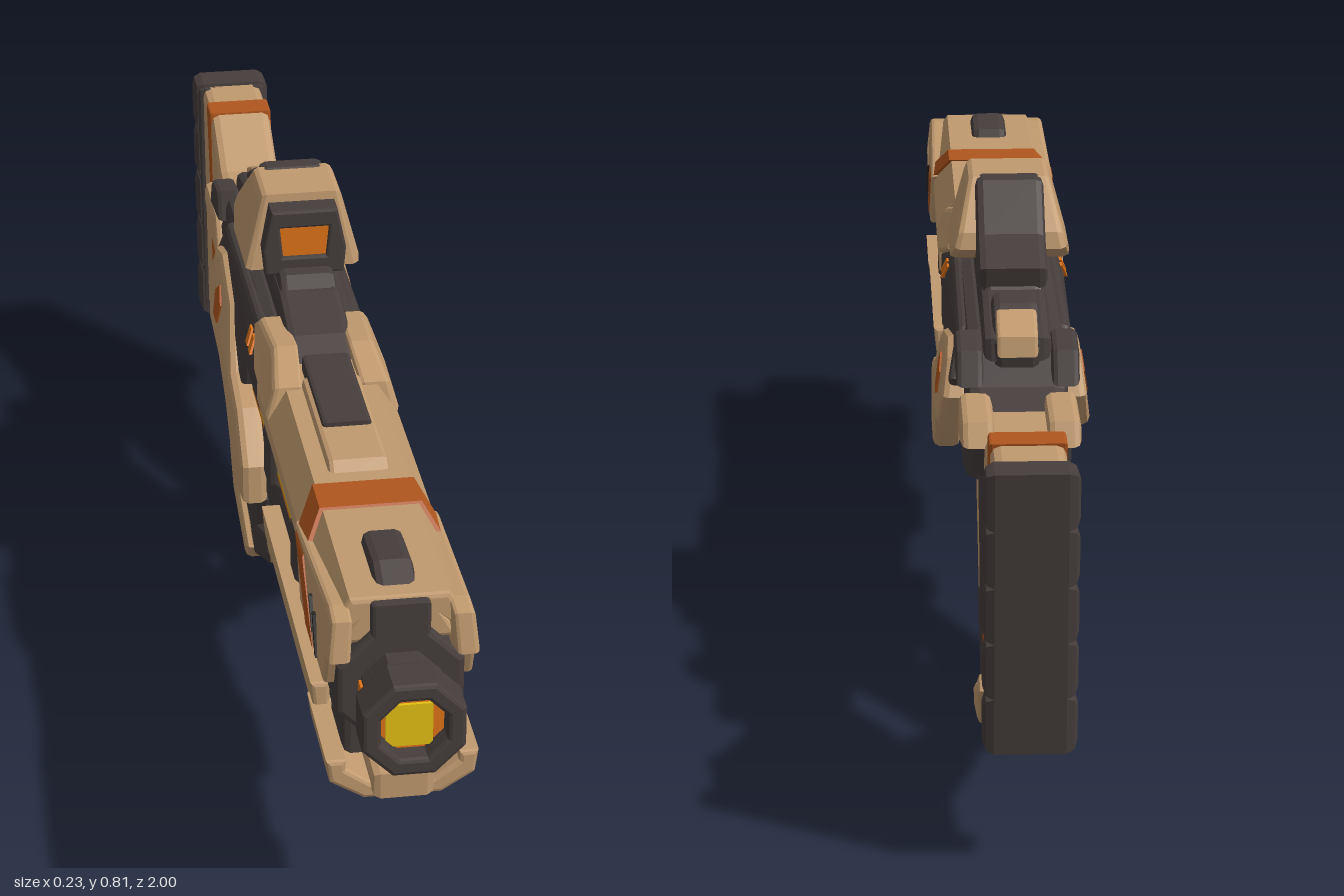
import * as THREE from 'three';

const material = (name, color) => Object.assign(new THREE.MeshStandardMaterial({ color }), { name });

export function createModel() {
  const model = new THREE.Group();
  model.name = 'rifle';
  const tan = material('tan armour', 0xc19a6f);
  const dark = material('dark frame', 0x463e3c);
  const black = material('black recess', 0x2b2625);
  const rust = material('rust stripe', 0xb0561e);
  const orange = material('orange glow', 0xe07418);
  const yellow = material('yellow glow', 0xedc614);

  // Extrudes a shape by length, with the bevel kept inside the outline
  function bevelled(points, length, bevel, hole) {
    const shape = new THREE.Shape(points.map(([a, b]) => new THREE.Vector2(a, b)));
    if (hole) shape.holes.push(new THREE.Path(hole.map(([a, b]) => new THREE.Vector2(a, b))));
    const g = new THREE.ExtrudeGeometry(shape, {
      depth: length - 2 * bevel, bevelEnabled: bevel > 0, bevelSize: bevel,
      bevelThickness: bevel, bevelOffset: -bevel, bevelSegments: 2,
    });
    return g.translate(0, 0, bevel - length / 2);
  }
  function add(name, mat, geometry) {
    const mesh = new THREE.Mesh(geometry, mat);
    mesh.name = name;
    model.add(mesh);
  }
  // Side profile [z, y]; w is the half width in x; taper [y0, k] narrows it above y0
  function plate(name, mat, points, w, bevel = 0.012, x = 0, taper = [0, 0]) {
    const g = bevelled(points, 2 * w, bevel).rotateY(-Math.PI / 2).translate(x, 0, 0);
    const p = g.attributes.position;
    for (let i = 0; i < p.count; i++) p.setX(i, p.getX(i) * (1 - taper[1] * Math.max(0, p.getY(i) - taper[0])));
    g.computeVertexNormals();
    add(name, mat, g);
  }
  function pair(name, mat, points, x, w, bevel = 0.008, taper = [0, 0]) {
    plate(name + 'Left', mat, points, w, bevel, x, taper);
    plate(name + 'Right', mat, points, w, bevel, -x, taper);
  }
  // Cross-section [x, y] run from z0 to z1, optionally slanted by height
  function section(name, mat, points, z0, z1, bevel = 0.008, hole = null, slant = 0) {
    const g = bevelled(points, z1 - z0, bevel, hole).translate(0, 0, (z0 + z1) / 2);
    const p = g.attributes.position;
    for (let i = 0; i < p.count; i++) p.setZ(i, p.getZ(i) + slant * (0.64 - p.getY(i)));
    g.computeVertexNormals();
    add(name, mat, g);
  }
  const mirror = (half) => [...half, ...half.slice().reverse().map(([x, y]) => [-x, y])];
  const octagon = (r, y = 0.5) => Array.from({ length: 8 }, (_, i) => {
    const a = (i + 0.5) * Math.PI / 4, k = r / Math.cos(Math.PI / 8);
    return [k * Math.cos(a), y + k * Math.sin(a)];
  });
  const box = (z0, z1, y0, y1) => [[z0, y0], [z1, y0], [z1, y1], [z0, y1]];

  // Barrel core, muzzle and bands
  section('barrelCore', dark, octagon(0.075), -0.05, 0.88);
  section('barrelFill', dark, octagon(0.09), 0.72, 0.885);
  section('muzzleNeck', dark, octagon(0.056), 0.86, 0.95, 0.004);
  section('muzzleRing', dark, octagon(0.072), 0.935, 1.0, 0.006, octagon(0.046));
  section('muzzleGlow', orange, octagon(0.05), 0.945, 0.968, 0);
  add('muzzleLight', yellow, new THREE.BoxGeometry(0.066, 0.066, 0.008).translate(-0.003, 0.493, 0.969));
  plate('muzzleSlit', orange, [[0.95, 0.5], [0.92, 0.516], [0.87, 0.516], [0.87, 0.484], [0.92, 0.484]], 0.06, 0);
  for (const z of [0.2, 0.49]) section('barrelBand', dark, octagon(0.095), z - 0.032, z + 0.032, 0.01);

  // Glowing energy windows along both sides
  for (const [z0, z1] of [[-0.06, 0.17], [0.23, 0.45], [0.52, 0.72]])
    plate('energyWindow', orange, box(z0, z1, 0.476, 0.526), 0.082, 0.004);
  for (const [z0, z1] of [[0.0, 0.13], [0.25, 0.42]])
    plate('energyCore', yellow, box(z0, z1, 0.495, 0.508), 0.084, 0);

  // Upper shroud
  const arch = (o, low) => mirror([[0.1 + o, low], [0.1 + o, 0.59], [0.07 + o * 0.6, 0.636 + o * 0.4],
  ]).concat(mirror([[0.06, 0.6], [0.08, 0.575], [0.08, low]]).map(([x, y]) => [-x, y]));
  section('upperShroud', tan, arch(0, 0.565), 0.13, 0.87, 0.007);
  pair('shroudCheek', tan, [[0.91, 0.56], [0.9, 0.62], [0.86, 0.625], [0.58, 0.6], [0.64, 0.5], [0.86, 0.5], [0.88, 0.55]],
    0.09, 0.016, 0.006, [0.59, 2]);
  section('shroudStripe', rust, arch(0.007, 0.5), 0.545, 0.615, 0, null, 1.1);
  pair('shroudVent', black, [[0.8, 0.51], [0.81, 0.51], [0.785, 0.565], [0.775, 0.565]], 0.106, 0.003, 0);
  pair('shroudVentRear', black, [[0.77, 0.53], [0.777, 0.53], [0.75, 0.575], [0.743, 0.575]], 0.106, 0.003, 0);
  plate('frontSight', dark, [[0.7, 0.625], [0.71, 0.65], [0.8, 0.655], [0.84, 0.635], [0.84, 0.6], [0.7, 0.6]], 0.03);
  plate('shroudNose', dark, box(0.82, 0.885, 0.56, 0.632), 0.042, 0.006);
  plate('shroudBridge', tan, [[0.52, 0.63], [0.5, 0.65], [0.24, 0.65], [0.22, 0.61], [0.52, 0.61]], 0.045, 0.008);
  plate('topInset', dark, box(0.18, 0.4, 0.62, 0.657), 0.037, 0.006);

  // Lower rails, chin and dark fore-end
  const trough = (top, bottom) => mirror([[0.045, bottom + 0.025], [0.08, bottom + 0.05], [0.08, top],
    [0.108, top], [0.103, bottom + 0.03], [0.055, bottom]]);
  section('lowerRails', tan, trough(0.435, 0.355), 0.24, 0.76, 0.006);
  section('chin', tan, trough(0.4, 0.335), 0.72, 0.91, 0.006);
  plate('chinPad', tan, box(0.78, 0.92, 0.34, 0.38), 0.045);
  plate('barrelBed', dark, box(0.1, 0.86, 0.38, 0.45), 0.078);
  plate('foreEnd', dark, [[0.74, 0.39], [0.74, 0.33], [0.53, 0.315], [0.49, 0.27], [0.31, 0.27], [0.25, 0.31], [0.08, 0.32], [0.06, 0.42]], 0.06);
  pair('foreEndPanel', dark, [[0.5, 0.35], [0.47, 0.285], [0.33, 0.285], [0.27, 0.35]], 0.05, 0.012);
  for (const z of [0.37, 0.48])
    pair('foreEndVent', orange, [[z - 0.03, 0.297], [z - 0.015, 0.297], [z - 0.035, 0.34], [z - 0.05, 0.34]], 0.061, 0.003, 0);

  // Receiver, top rail and rear sight
  plate('receiver', dark, [[0.2, 0.39], [0.19, 0.6], [0.05, 0.64], [-0.47, 0.64], [-0.5, 0.58], [-0.62, 0.53],
    [-0.59, 0.475], [-0.4, 0.47], [-0.37, 0.39], [-0.25, 0.37], [0.08, 0.33]], 0.075, 0.02);
  pair('receiverSide', dark, [[0.15, 0.545], [0.14, 0.6], [0.02, 0.635], [-0.36, 0.63], [-0.4, 0.56], [-0.36, 0.5], [-0.07, 0.47], [-0.05, 0.54]],
    0.08, 0.018, 0.008, [0.59, 4]);
  plate('topRail', dark, [[0.2, 0.62], [0.12, 0.66], [0.02, 0.685], [-0.38, 0.68], [-0.5, 0.655], [-0.5, 0.62]], 0.05);
  plate('rearSight', dark, [[-0.38, 0.66], [-0.4, 0.695], [-0.44, 0.69], [-0.51, 0.65], [-0.5, 0.61], [-0.38, 0.61]], 0.035);
  plate('rearSightCap', tan, [[-0.45, 0.65], [-0.455, 0.685], [-0.51, 0.66], [-0.515, 0.63]], 0.03, 0.005);
  pair('rearLug', dark, [[-0.43, 0.6], [-0.44, 0.65], [-0.51, 0.64], [-0.53, 0.59]], 0.07, 0.02);
  pair('receiverCollar', tan, [[0.26, 0.59], [0.25, 0.64], [0.16, 0.665], [0.04, 0.655], [0.02, 0.635], [0.12, 0.6]],
    0.076, 0.026, 0.008, [0.61, 4.5]);
  for (const z of [0, 0.03])
    pair('receiverVent', orange, [[z, 0.595], [z + 0.018, 0.595], [z + 0.006, 0.617], [z - 0.012, 0.617]], 0.099, 0.003, 0, [0.59, 4]);

  // Side armour with pentagon badge
  const lean = [0.48, 1.2];
  pair('sideArmour', tan, [[0.06, 0.335], [0.06, 0.4], [-0.01, 0.47], [-0.1, 0.49], [-0.18, 0.57], [-0.31, 0.6], [-0.37, 0.585],
    [-0.4, 0.53], [-0.34, 0.465], [-0.22, 0.45], [-0.14, 0.41], [-0.05, 0.33]], 0.094, 0.022, 0.012, lean);
  const badge = Array.from({ length: 5 }, (_, i) => {
    const a = Math.PI / 2 + i * Math.PI * 0.4;
    return [-0.27 + 0.033 * Math.cos(a), 0.528 + 0.033 * Math.sin(a)];
  });
  pair('badge', rust, badge, 0.116, 0.003, 0, lean);

  // Scope
  plate('scopeMount', dark, [[0.05, 0.66], [-0.01, 0.7], [-0.33, 0.7], [-0.36, 0.66]], 0.045);
  plate('scopeBody', dark, [[-0.1, 0.68], [-0.1, 0.77], [-0.17, 0.812], [-0.2, 0.81], [-0.27, 0.745], [-0.35, 0.715], [-0.34, 0.68]], 0.052);
  plate('scopeHood', tan, [[-0.06, 0.688], [-0.075, 0.81], [-0.18, 0.81], [-0.245, 0.74], [-0.25, 0.715], [-0.2, 0.688]],
    0.094, 0.012, 0, [0.69, 2.8]);
  section('scopeFrame', dark, mirror([[0.062, 0.688], [0.066, 0.73], [0.052, 0.797]]), -0.09, -0.035, 0.004,
    mirror([[0.034, 0.718], [0.039, 0.768]]));
  section('scopeLens', orange, mirror([[0.04, 0.712], [0.045, 0.774]]), -0.055, -0.042, 0);

  // Trigger, guard and grip
  pair('guardRoot', tan, [[0.11, 0.33], [0.06, 0.355], [-0.04, 0.345], [-0.06, 0.3], [0.02, 0.28]], 0.03, 0.026);
  plate('guardStrut', tan, [[0.1, 0.325], [-0.05, 0.33], [-0.175, 0.13], [-0.14, 0.1], [-0.02, 0.25]], 0.046);
  plate('guardBase', dark, [[-0.125, 0.13], [-0.14, 0.1], [-0.32, 0.015], [-0.37, 0.06], [-0.175, 0.14]], 0.048);
  plate('guardBar', dark, [[-0.03, 0.36], [-0.03, 0.31], [-0.08, 0.255], [-0.3, 0.25], [-0.28, 0.275], [-0.115, 0.28], [-0.085, 0.31], [-0.1, 0.37]], 0.03, 0.006);
  plate('trigger', orange, [[-0.185, 0.39], [-0.205, 0.34], [-0.18, 0.288], [-0.21, 0.285], [-0.245, 0.33], [-0.24, 0.39]], 0.016, 0.004);
  plate('grip', dark, [[-0.23, 0.42], [-0.25, 0.33], [-0.3, 0.22], [-0.27, 0.15], [-0.31, 0.04], [-0.42, 0.07], [-0.49, 0.15],
    [-0.43, 0.26], [-0.4, 0.34], [-0.4, 0.44]], 0.05, 0.018);

  // Stock frame, strut, stripes and butt pad
  plate('stockFrame', tan, [[-0.47, 0.5], [-0.53, 0.56], [-0.64, 0.555], [-0.71, 0.56], [-0.82, 0.62], [-0.945, 0.62],
    [-0.9, 0.21], [-0.79, 0.225], [-0.67, 0.18], [-0.57, 0.15], [-0.5, 0.045], [-0.35, 0.0], [-0.31, 0.04], [-0.43, 0.085],
    [-0.49, 0.14], [-0.58, 0.225], [-0.71, 0.3], [-0.78, 0.35], [-0.8, 0.4], [-0.75, 0.475], [-0.61, 0.475]], 0.052, 0.014);
  plate('stockFoot', tan, [[-0.31, 0.035], [-0.34, 0.0], [-0.5, 0.045], [-0.55, 0.12], [-0.5, 0.13], [-0.43, 0.08]], 0.06);
  pair('stockCheek', tan, [[-0.45, 0.5], [-0.51, 0.575], [-0.64, 0.575], [-0.655, 0.54], [-0.56, 0.51]], 0.062, 0.024, 0.01);
  plate('stockStrut', dark, [[-0.47, 0.49], [-0.62, 0.49], [-0.62, 0.45], [-0.6, 0.39], [-0.64, 0.365], [-0.76, 0.355], [-0.75, 0.3],
    [-0.66, 0.27], [-0.58, 0.35], [-0.54, 0.46]], 0.04);
  plate('lowerStripe', rust, [[-0.555, 0.195], [-0.565, 0.16], [-0.65, 0.18], [-0.77, 0.265], [-0.815, 0.34], [-0.82, 0.4],
    [-0.797, 0.41], [-0.775, 0.355], [-0.71, 0.305], [-0.58, 0.23]], 0.054, 0.004);
  plate('upperStripe', rust, [[-0.82, 0.623], [-0.87, 0.623], [-0.83, 0.47], [-0.79, 0.43], [-0.77, 0.46], [-0.805, 0.5]], 0.054, 0.004);
  plate('buttPad', dark, [[-0.935, 0.62], [-0.985, 0.62], [-0.935, 0.2], [-0.89, 0.21]], 0.06);
  const back = (y) => -0.945 - (y - 0.195) * 0.128;
  for (let i = 0; i < 5; i++) {
    const y0 = 0.195 + i * 0.086, y1 = y0 + 0.086;
    plate('buttRib', dark, [[back(y0) + 0.055, y0], [back(y0), y0], [back(y1), y1], [back(y1) + 0.055, y1]], 0.066, 0.016);
  }
  return model;
}
